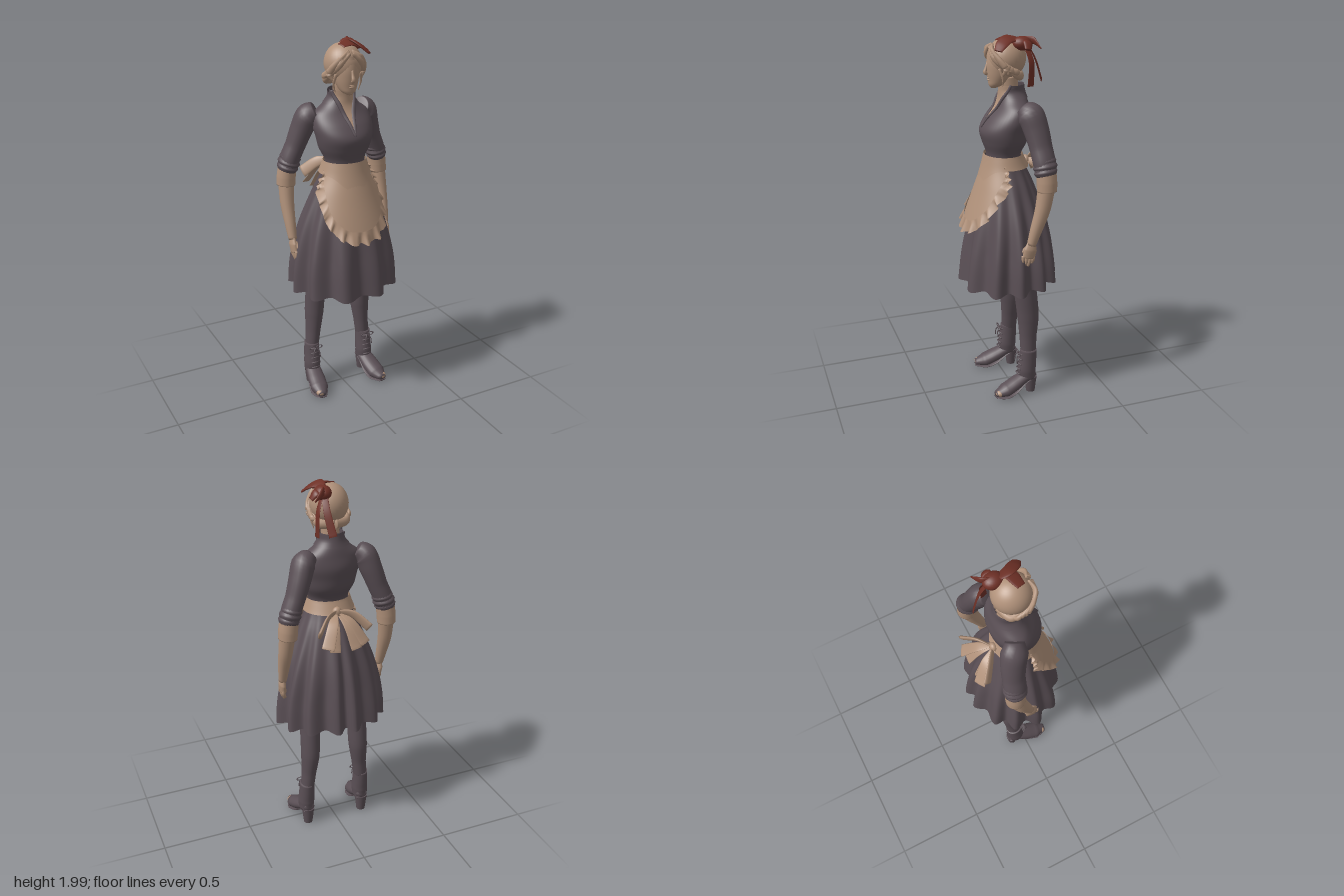
import * as THREE from 'three';
import { mergeVertices } from 'three/addons/utils/BufferGeometryUtils.js';

const V = (x, y, z) => new THREE.Vector3(x, y, z);
const mat = (name, color) => {
  const m = new THREE.MeshStandardMaterial({ color, side: THREE.DoubleSide });
  m.name = name;
  return m;
};

export function createModel() {
  const model = new THREE.Group();
  const dress = mat('charcoal cloth', 0x5a4f55);
  const tan = mat('warm tan', 0xb0917a);
  const red = mat('dark red ribbon', 0x6e3026);

  const add = (name, geo, material) => {
    const mesh = new THREE.Mesh(geo, material);
    mesh.name = name;
    model.add(mesh);
    return mesh;
  };

  // Smooth grid surface from a rule f(u, v)
  function surface(f, nu, nv) {
    const pos = [], idx = [];
    for (let j = 0; j <= nv; j++) for (let i = 0; i <= nu; i++) pos.push(...f(i / nu, j / nv).toArray());
    for (let j = 0; j < nv; j++) for (let i = 0; i < nu; i++) {
      const a = j * (nu + 1) + i, c = a + nu + 1;
      idx.push(a, a + 1, c, a + 1, c + 1, c);
    }
    let g = new THREE.BufferGeometry();
    g.setAttribute('position', new THREE.Float32BufferAttribute(pos, 3));
    g.setIndex(idx);
    g = mergeVertices(g, 1e-5);
    g.computeVertexNormals();
    return g;
  }

  // Closed oval sweep along a path; `side` is the width direction, `flat` the depth ratio
  function sweep(points, radii, side = V(1, 0, 0), flat = 1, nu = 16, nv = 20) {
    const curve = new THREE.CatmullRomCurve3(points.map(p => V(...p)));
    return surface((u, v) => {
      const j = Math.round(v * (nv + 2));
      const t = THREE.MathUtils.clamp((j - 1) / nv, 0, 1);
      const k = t * (radii.length - 1), i = Math.min(Math.floor(k), radii.length - 2);
      const r = j === 0 || j === nv + 2 ? 0 : THREE.MathUtils.lerp(radii[i], radii[i + 1], k - i);
      const tan = curve.getTangent(t), s = side.clone().addScaledVector(tan, -side.dot(tan)).normalize();
      const n = tan.clone().cross(s), a = (u % 1) * Math.PI * 2;
      return curve.getPoint(t).addScaledVector(s, r * Math.cos(a)).addScaledVector(n, r * flat * Math.sin(a));
    }, nu, nv + 2);
  }

  // Rows of [y, centre z, half width, half depth], blended smoothly in y
  function profile(rows, y) {
    let i = 0;
    while (i < rows.length - 2 && y > rows[i + 1][0]) i++;
    const a = rows[i], b = rows[i + 1], p = rows[Math.max(i - 1, 0)], q = rows[Math.min(i + 2, rows.length - 1)];
    const h = b[0] - a[0], t = THREE.MathUtils.clamp((y - a[0]) / h, 0, 1), t2 = t * t, t3 = t2 * t;
    return [1, 2, 3].map(k => {
      const m0 = (b[k] - p[k]) / (b[0] - p[0]) * h, m1 = (q[k] - a[k]) / (q[0] - a[0]) * h;
      return (2 * t3 - 3 * t2 + 1) * a[k] + (t3 - 2 * t2 + t) * m0 + (3 * t2 - 2 * t3) * b[k] + (t3 - t2) * m1;
    });
  }
  const on = (rows, th, y, off = 0, k = 1) => {
    const [z, rx, rz] = profile(rows, y);
    return V(Math.sin(th) * (rx * k + off), y, z + Math.cos(th) * (rz * k + off));
  };
  const turn = u => (u % 1) * Math.PI * 2;

  // Bodice with an open neckline
  const torso = [[1.33, .025, .105, .088], [1.38, .025, .112, .092], [1.44, .02, .14, .118], [1.5, .02, .155, .13],
    [1.56, 0, .165, .118], [1.62, -.02, .15, .088], [1.66, -.025, .1, .075], [1.7, -.02, .064, .066], [1.735, -.015, .062, .062]];
  add('bodice', surface((u, v) => on(torso, turn(u), 1.33 + v * .405), 48, 44), dress);
  const neckAngle = y => Math.asin(Math.min(.95, .058 * (y - 1.53) / .2 / profile(torso, y)[1]));
  add('neckline', surface((u, v) => {
    const y = 1.53 + v * .206;
    return on(torso, (u * 2 - 1) * neckAngle(y), y, .005);
  }, 12, 24), tan);
  for (const s of [1, -1]) {
    const edge = [1.52, 1.57, 1.62, 1.67, 1.71, 1.738].map(y => on(torso, s * neckAngle(Math.max(y, 1.53)), y, .005).toArray());
    add('collarEdge', sweep(edge, [.006, .01, .012, .01], V(1, 0, .4), .7, 8), dress);
  }
  add('standCollar', surface((u, v) => {
    const th = .95 + u * (Math.PI * 2 - 1.9);
    return on(torso, th, 1.67 + v * (.055 - .015 * Math.cos(th)), .005 + v * .004);
  }, 36, 6), dress);
  add('neck', sweep([[0, 1.6, -.025], [0, 1.7, -.01], [0, 1.78, 0]], [.052, .047, .05]), tan);

  // Pleated skirt; folds peak at these angles from the front
  const skirt = [[.64, 0, .29, .254], [.8, 0, .28, .235], [1, 0, .24, .2], [1.2, .01, .168, .145], [1.3, .02, .125, .112], [1.37, .027, .108, .092]];
  const folds = [-20, 20, 55, 85, 115, 140, 171, 189];
  const pleat = th => {
    const d = Math.abs(Math.atan2(Math.sin(th), Math.cos(th))) * 180 / Math.PI;
    let i = 0;
    while (d > folds[i + 1]) i++;
    return Math.cos((d - folds[i]) / (folds[i + 1] - folds[i]) * Math.PI * 2);
  };
  add('skirt', surface((u, v) => {
    const th = turn(u), low = 1 - v, p = pleat(th);
    const y = 1.36 - low * (.7 + .018 * Math.cos(th) + .008 * p);
    return on(skirt, th, y, 0, 1 + p * .075 * Math.min(1, low * 1.4));
  }, 180, 28), dress);

  // Apron panel, ruffle and waistband
  const half = [[.125, 1.33], [.158, 1.28], [.172, 1.235], [.177, 1.155], [.163, 1.065], [.1, .995]];
  const outline = new THREE.CatmullRomCurve3([...half.map(([x, y]) => V(x, y, 0)), V(0, .975, 0), ...half.slice().reverse().map(([x, y]) => V(-x, y, 0))]);
  const apron = (t, k, lift = 0) => {
    const o = outline.getPoint(t), x = o.x * k, y = 1.33 + (o.y - 1.33) * k;
    const [z, rx, rz] = profile(skirt, y), off = .008 + (1.33 - y) * .1;
    return V(x, y, z + (rz + off) * Math.sqrt(Math.max(.05, 1 - (x / (rx + off)) ** 2)) + lift);
  };
  add('apronPanel', surface((u, v) => apron(u, v * .9), 60, 16), tan);
  add('apronRuffle', surface((u, v) => {
    const w = Math.sin(u * Math.PI * 34) + .4 * Math.sin(u * Math.PI * 58);
    return apron(u, .86 + v * .18 + .012 * v * w, .006 + v * .013 * w);
  }, 160, 5), tan);
  add('waistband', surface((u, v) => {
    const th = turn(u), bottom = 1.305 - .08 * Math.max(0, Math.cos(th)) ** 5;
    return on(skirt, th, bottom + v * (1.372 - bottom), .017 - .006 * v);
  }, 60, 8), tan);

  // Apron bow at the back
  add('apronKnot', new THREE.SphereGeometry(.026, 16, 12).scale(1, 1.1, .8).translate(0, 1.32, -.1), tan);
  for (const s of [1, -1]) {
    add('apronBowLoop', sweep([[0, 1.32, -.1], [s * .07, 1.315, -.15], [s * .14, 1.25, -.205]], [.014, .028, .034], V(0, 1, -.5), .3), tan);
    add('apronBowTail', sweep([[s * .01, 1.32, -.1], [s * .05, 1.285, -.17], [s * .105, 1.18, -.235]], [.012, .026, .034], V(1, 0, s * .4), .12), tan);
    add('apronBowTail', sweep([[s * .01, 1.31, -.1], [s * .035, 1.26, -.165], [s * .06, 1.15, -.225]], [.012, .024, .03], V(1, 0, 0), .12), tan);
  }

  // Arms and hands
  for (const s of [1, -1]) {
    add('sleeve', sweep([[s * .13, 1.625, -.045], [s * .168, 1.6, -.065], [s * .196, 1.53, -.085], [s * .228, 1.44, -.1], [s * .257, 1.37, -.108], [s * .272, 1.315, -.112]],
      [.045, .062, .058, .052, .052, .05], V(1, 0, 0), 1.15, 20, 28), dress);
    for (const [x, y, r] of [[.253, 1.375, .056], [.262, 1.35, .059], [.27, 1.325, .056]])
      add('sleeveFold', sweep([[s * (x - .005), y + .02, -.107], [s * x, y, -.11], [s * (x + .004), y - .018, -.112]], [r * .85, r, r * .85], V(1, 0, s * .2), 1.1, 20, 8), dress);
    add('cuff', sweep([[s * .27, 1.325, -.113], [s * .277, 1.27, -.115], [s * .28, 1.225, -.115]], [.05, .051, .05], V(1, 0, 0), 1.05, 20), tan);
    add('forearm', sweep([[s * .28, 1.25, -.113], [s * .286, 1.13, -.09], [s * .286, 1.02, -.055], [s * .285, .94, -.03]], [.042, .037, .029, .022], V(1, 0, 0), 1.1), tan);
    add('palm', sweep([[s * .285, .955, -.032], [s * .286, .915, -.025], [s * .282, .872, -.016]], [.022, .036, .035], V(0, 0, 1), .5), tan);
    for (let i = 0; i < 4; i++) {
      const z = .014 - i * .019, len = [.06, .07, .065, .05][i];
      add('finger', sweep([[s * .283, .885, z], [s * .284, .885 - len * .5, z + .002], [s * .274, .885 - len, z + .007]], [.011, .01, .006], V(1, 0, 0), 1, 8, 8), tan);
    }
    add('thumb', sweep([[s * .28, .925, -.01], [s * .268, .895, .018], [s * .262, .86, .026]], [.013, .011, .006], V(1, 0, 0), 1, 8, 8), tan);
  }

  // Legs and heeled boots
  for (const s of [1, -1]) {
    add('leg', sweep([[s * .1, 1, -.02], [s * .12, .8, -.03], [s * .14, .62, -.052], [s * .146, .46, -.068], [s * .155, .34, -.066], [s * .165, .24, -.065]],
      [.085, .072, .054, .052, .041, .037], V(1, 0, 0), 1.18, 20, 30), dress);
    add('bootShaft', sweep([[s * .167, .265, -.064], [s * .168, .2, -.06], [s * .169, .14, -.054], [s * .17, .09, -.055]], [.041, .043, .046, .042], V(1, 0, 0), 1.15, 20), dress);
    add('bootFoot', sweep([[s * .166, .115, -.1], [s * .17, .098, -.045], [s * .178, .066, .02], [s * .187, .04, .08], [s * .196, .028, .137]],
      [.03, .043, .05, .05, .022], V(1, 0, 0), .72, 20), dress);
    add('bootSole', sweep([[s * .167, .088, -.1], [s * .17, .07, -.045], [s * .178, .026, .02], [s * .187, .009, .08], [s * .196, .011, .138]],
      [.032, .036, .046, .05, .024], V(1, 0, 0), .15, 20), dress);
    add('bootHeel', new THREE.CylinderGeometry(.036, .025, .095, 16).translate(s * .168, .0475, -.078), dress);
    add('toeCap', new THREE.SphereGeometry(.028, 16, 10).scale(1, .7, .9).translate(s * .197, .033, .115), tan);
    // Laces
    for (let i = 0; i < 5; i++) {
      const y = .125 + i * .029, z = .008 - i * .004;
      add('lace', sweep([[s * .168 - .024, y, z - .014], [s * .168, y + .008, z], [s * .168 + .024, y, z - .014]], [.004, .004], V(0, 1, 0), 1, 6, 8), dress);
    }
    for (const d of [1, -1]) {
      add('laceLoop', new THREE.TorusGeometry(.014, .003, 6, 16).scale(1.3, .7, 1).translate(s * .168 + d * .02, .255, -.004), dress);
      add('laceEnd', sweep([[s * .168, .255, -.006], [s * .168 + d * .015, .235, .008], [s * .168 + d * .022, .195, .01]], [.003, .003], V(1, 0, 0), 1, 6, 8), dress);
    }
  }

  // Head and face
  const face = [[1.722, .078, .012, .014], [1.735, .066, .034, .036], [1.76, .054, .05, .052], [1.8, .04, .064, .072], [1.85, .03, .071, .084], [1.92, .018, .07, .084]];
  add('face', surface((u, v) => on(face, turn(u), 1.722 + v * .198), 32, 24), tan);
  add('chin', new THREE.SphereGeometry(.016, 12, 8).scale(1.1, .8, 1).translate(0, 1.736, .086), tan);
  add('nose', sweep([[0, 1.852, .11], [0, 1.825, .118], [0, 1.803, .124], [0, 1.794, .112]], [.006, .008, .011, .009], V(1, 0, 0), .9, 10, 10), tan);
  for (const y of [1.774, 1.765]) add('lip', new THREE.SphereGeometry(.014, 12, 8).scale(1.1, .35, .6).translate(0, y, .104), tan);

  // Hair: crown, side waves, low rolls at the nape
  add('hairCrown', new THREE.SphereGeometry(1, 32, 24).scale(.098, .106, .102).rotateX(-.25).translate(0, 1.872, .008), tan);
  for (const s of [1, -1]) {
    for (let i = 0; i < 4; i++)
      add('hairWave', sweep([[s * .008, 1.945 - i * .004, .085 + i * .006], [s * (.05 + i * .003), 1.915 - i * .01, .098], [s * .085, 1.87 - i * .012, .072 - i * .012],
        [s * .1, 1.83 - i * .006, .045 - i * .02], [s * .08, 1.795 + i * .004, .055 - i * .03]], [.008, .016, .018, .016, .005], V(0, 1, .3), .7, 10), tan);
    add('hairWisp', sweep([[s * .07, 1.83, .07], [s * .078, 1.78, .055], [s * .066, 1.735, .05]], [.01, .007, .002], V(1, 0, 0), .7, 8, 10), tan);
    add('napeRoll', sweep([[s * .085, 1.825, .02], [s * .075, 1.79, -.035], [0, 1.785, -.062]], [.018, .025, .027], V(0, 1, 0), .8, 12), tan);
  }

  // Red hair ribbon
  add('ribbonKnot', new THREE.SphereGeometry(.046, 20, 14).scale(.95, .8, 1.15).translate(.06, 1.95, -.055), red);
  add('ribbonFrontLoop', sweep([[.055, 1.972, -.03], [.06, 1.975, .02], [.085, 1.953, .06], [.11, 1.925, .088]], [.024, .036, .034, .022], V(1, -.5, -.4), .25), red);
  add('ribbonBand', sweep([[.075, 1.958, .015], [.03, 1.975, .025], [-.028, 1.967, .04]], [.035, .036, .024], V(0, -.3, 1), .2), red);
  add('ribbonSideLoop', sweep([[.06, 1.96, -.06], [.1, 1.955, -.07], [.125, 1.925, -.065]], [.015, .027, .018], V(0, .4, 1), .45), red);
  add('ribbonBackLoop', sweep([[.06, 1.965, -.06], [.08, 1.965, -.105], [.13, 1.93, -.132]], [.02, .02, .004], V(0, 1, .2), .4), red);
  add('ribbonTail', sweep([[.06, 1.95, -.08], [.065, 1.87, -.125], [.05, 1.755, -.168]], [.014, .018, .021], V(1, 0, .6), .12), red);
  add('ribbonTail', sweep([[.07, 1.94, -.07], [.1, 1.86, -.092], [.102, 1.735, -.088]], [.012, .017, .019], V(.25, 0, 1), .12), red);

  return model;
}
